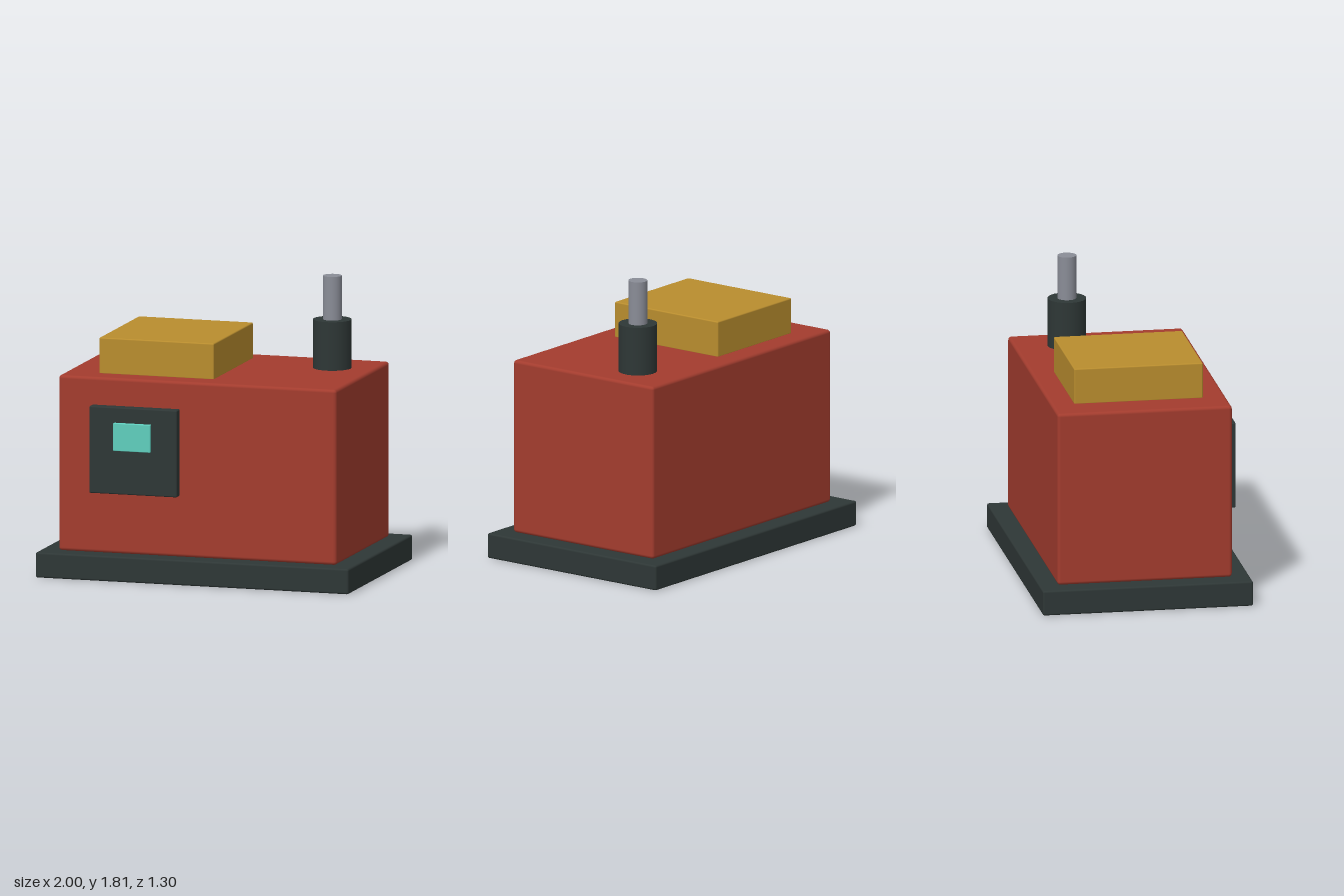
import * as THREE from 'three';
import { RoundedBoxGeometry } from 'three/addons/geometries/RoundedBoxGeometry.js';

function material(name, color) {
  const m = new THREE.MeshStandardMaterial({ color });
  m.name = name;
  return m;
}

export function createModel() {
  const group = new THREE.Group();
  group.name = 'machine';

  const red = material('red paint', 0xa33c2e);
  const dark = material('dark metal', 0x2e3736);
  const gold = material('ochre paint', 0xb98d2e);
  const steel = material('grey steel', 0x8a8d97);
  const teal = material('teal screen', 0x5fcfbe);

  function add(name, geometry, mat, x, y, z) {
    const mesh = new THREE.Mesh(geometry, mat);
    mesh.name = name;
    mesh.position.set(x, y, z);
    group.add(mesh);
  }

  // Box given by its extents on each axis, with softened edges
  function box(name, mat, [x0, x1], [y0, y1], [z0, z1], bevel) {
    add(name, new RoundedBoxGeometry(x1 - x0, y1 - y0, z1 - z0, 2, bevel), mat,
      (x0 + x1) / 2, (y0 + y1) / 2, (z0 + z1) / 2);
  }

  // Upright cylinder between two heights
  function post(name, mat, radius, y0, y1, x, z) {
    add(name, new THREE.CylinderGeometry(radius, radius, y1 - y0, 24), mat, x, (y0 + y1) / 2, z);
  }

  // Plinth and housing
  box('base', dark, [-1, 1], [0, 0.156], [-0.65, 0.65], 0.012);
  box('body', red, [-0.887, 0.887], [0.156, 1.24], [-0.54, 0.54], 0.02);

  // Raised cover on the roof
  box('topCover', gold, [-0.672, 0.06], [1.235, 1.46], [-0.4, 0.396], 0.008);

  // Control panel with its screen
  box('controlPanel', dark, [-0.672, -0.112], [0.533, 1.07], [0.5, 0.6], 0.008);
  box('screen', teal, [-0.512, -0.275], [0.805, 0.976], [0.585, 0.625], 0.004);

  // Exhaust stack
  post('stackCollar', dark, 0.118, 1.22, 1.54, 0.623, -0.22);
  post('stackPipe', steel, 0.058, 1.5, 1.81, 0.623, -0.22);

  return group;
}
